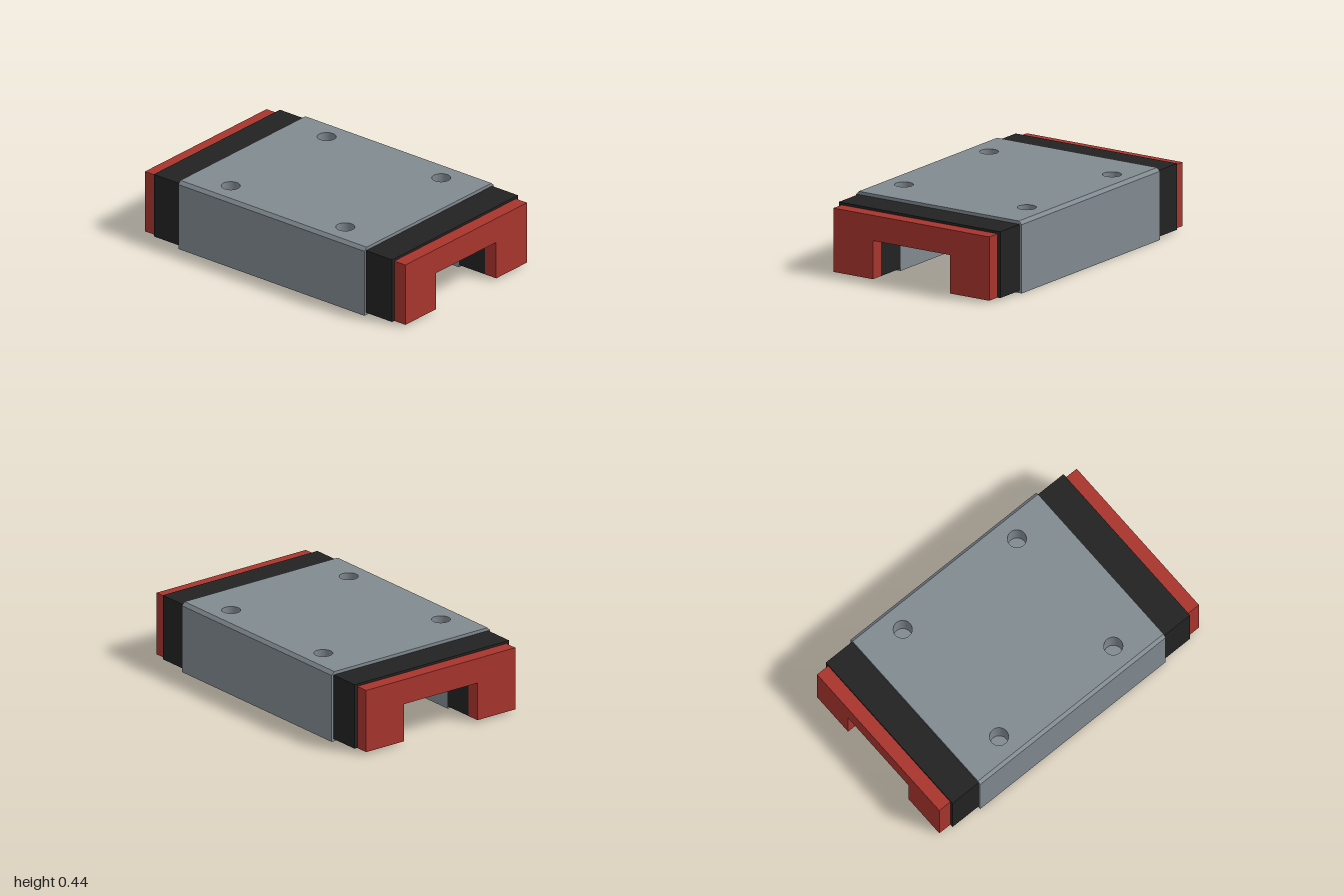
import * as THREE from 'three';
import { toCreasedNormals } from 'three/addons/utils/BufferGeometryUtils.js';

const CHANNEL_HALF = 0.275, CHANNEL_TOP = 0.25;

function material(name, color) {
  const m = new THREE.MeshStandardMaterial({ color });
  m.name = name;
  return m;
}

// Saddle profile (z, y): legs and channel, plus the given outline over the top
function saddle(bottom, halfWidth, top) {
  return new THREE.Shape([
    [-halfWidth, bottom], [-CHANNEL_HALF, bottom], [-CHANNEL_HALF, CHANNEL_TOP],
    [CHANNEL_HALF, CHANNEL_TOP], [CHANNEL_HALF, bottom], [halfWidth, bottom], ...top,
  ].map(([z, y]) => new THREE.Vector2(z, y)));
}

// Extrude a profile along x, centred on x
function alongX(shape, length, x, mat, name) {
  const geo = new THREE.ExtrudeGeometry(shape, { depth: length, bevelEnabled: false });
  geo.translate(0, 0, -length / 2).rotateY(Math.PI / 2);
  const mesh = new THREE.Mesh(geo, mat);
  mesh.position.x = x;
  mesh.name = name;
  return mesh;
}

export function createModel() {
  const steel = material('steel grey', 0x818a90);
  const black = material('black plastic', 0x222222);
  const red = material('red plastic', 0xa8342d);
  const group = new THREE.Group();
  group.name = 'linearBearingCarriage';

  // Steel block with chamfered long top edges and a recess for the drilled plate
  const halfLength = 0.715, halfWidth = 0.593, plateHalf = 0.573;
  const top = 0.44, shoulder = 0.42, holeFloor = 0.3;
  const profile = saddle(0, halfWidth, [
    [halfWidth, shoulder], [plateHalf, top], [plateHalf, holeFloor],
    [-plateHalf, holeFloor], [-plateHalf, top], [-halfWidth, shoulder],
  ]);
  group.add(alongX(profile, halfLength * 2, 0, steel, 'steelBlock'));

  // Top plate with four blind mounting holes
  const plate = new THREE.Shape([
    new THREE.Vector2(-halfLength, -plateHalf), new THREE.Vector2(halfLength, -plateHalf),
    new THREE.Vector2(halfLength, plateHalf), new THREE.Vector2(-halfLength, plateHalf),
  ]);
  for (const x of [-0.44, 0.44]) {
    for (const z of [-0.44, 0.44]) {
      plate.holes.push(new THREE.Path().absarc(x, z, 0.056, 0, Math.PI * 2, true));
    }
  }
  const plateGeo = new THREE.ExtrudeGeometry(plate, {
    depth: top - holeFloor, bevelEnabled: false, curveSegments: 32,
  });
  plateGeo.rotateX(-Math.PI / 2).translate(0, holeFloor, 0);
  const plateMesh = new THREE.Mesh(toCreasedNormals(plateGeo, 0.6), steel);
  plateMesh.name = 'drilledTopPlate';
  group.add(plateMesh);

  // Black end caps and red end seals, mirrored at both ends
  for (const [side, label] of [[1, 'left'], [-1, 'right']]) {
    const cap = saddle(0.015, 0.578, [[0.578, 0.42], [-0.578, 0.42]]);
    const seal = saddle(0.015, 0.558, [[0.558, 0.405], [-0.558, 0.405]]);
    group.add(alongX(cap, 0.2, side * 0.815, black, label + 'EndCap'));
    group.add(alongX(seal, 0.085, side * 0.9575, red, label + 'EndSeal'));
  }
  return group;
}
